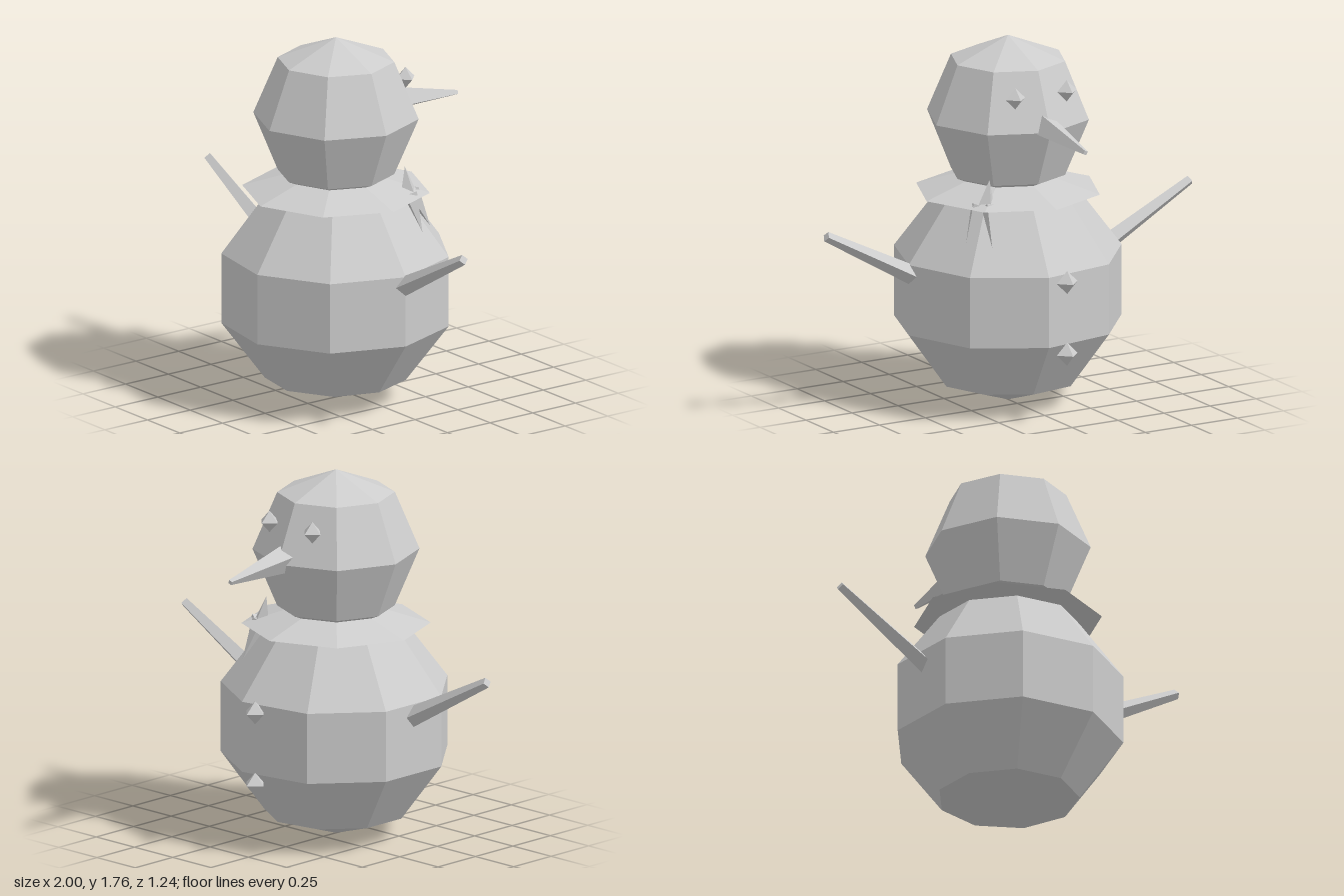
import * as THREE from 'three';

const snowGrey = new THREE.MeshStandardMaterial({ color: 0xcccccc, flatShading: true });
snowGrey.name = 'snowGrey';

const CENTRE_Z = 0.085;

export function createModel() {
  const group = new THREE.Group();
  group.name = 'snowman';

  const add = (name, geometry, x = 0, y = 0, z = 0) => {
    const mesh = new THREE.Mesh(geometry, snowGrey);
    mesh.name = name;
    mesh.position.set(x, y, z);
    group.add(mesh);
    return mesh;
  };

  // Faceted solid turned about the snowman's axis, with a corner towards +x
  const turned = (name, profile, sides) =>
    add(name, new THREE.LatheGeometry(
      profile.map(([r, y]) => new THREE.Vector2(r, y)), sides, Math.PI / 2), 0, 0, CENTRE_Z);

  // Tapered bar between two points
  const taper = (name, from, to, r0, r1, sides = 4, twist = 0) => {
    const a = new THREE.Vector3(...from);
    const b = new THREE.Vector3(...to);
    const dir = b.clone().sub(a);
    const geometry = new THREE.CylinderGeometry(r1, r0, dir.length(), sides, 1, false, twist);
    const mid = a.clone().add(b).multiplyScalar(0.5);
    const mesh = add(name, geometry, mid.x, mid.y, mid.z);
    mesh.quaternion.setFromUnitVectors(new THREE.Vector3(0, 1, 0), dir.normalize());
  };

  // Body and head
  turned('body', [[0, 0], [0.335, 0.108], [0.54, 0.385], [0.54, 0.725], [0.335, 1.0], [0, 1.1]], 9);
  turned('head', [[0, 0.99], [0.275, 1.105], [0.39, 1.38], [0.275, 1.655], [0, 1.765]], 8);

  // Scarf ring, its knot and two hanging ends
  turned('scarf', [[0.2, 0.985], [0.4425, 1.02], [0.2, 1.096], [0.2, 0.985]], 8);
  taper('scarfKnot', [0.255, 1.03, -0.145], [0.235, 1.147, -0.14], 0.042, 0);
  taper('scarfEnd', [0.29, 1.03, -0.13], [0.365, 0.86, -0.145], 0.04, 0);
  taper('scarfEnd', [0.25, 1.03, -0.165], [0.285, 0.85, -0.25], 0.04, 0);

  // Nose
  taper('nose', [0, 1.398, -0.25], [0, 1.358, -0.622], 0.066, 0.013, 4, 0.35);

  // Arms and eyes
  for (const side of [-1, 1]) {
    taper(side > 0 ? 'leftArm' : 'rightArm',
      [side * 0.4, 0.61, CENTRE_Z], [side * 0.988, 0.925, CENTRE_Z], 0.051, 0.024);
    add('eye', new THREE.OctahedronGeometry(0.052), side * 0.14, 1.545, -0.216);
  }

  // Buttons
  for (const y of [0.345, 0.692]) {
    add('button', new THREE.OctahedronGeometry(0.056), 0, y, -0.455);
  }

  return group;
}
